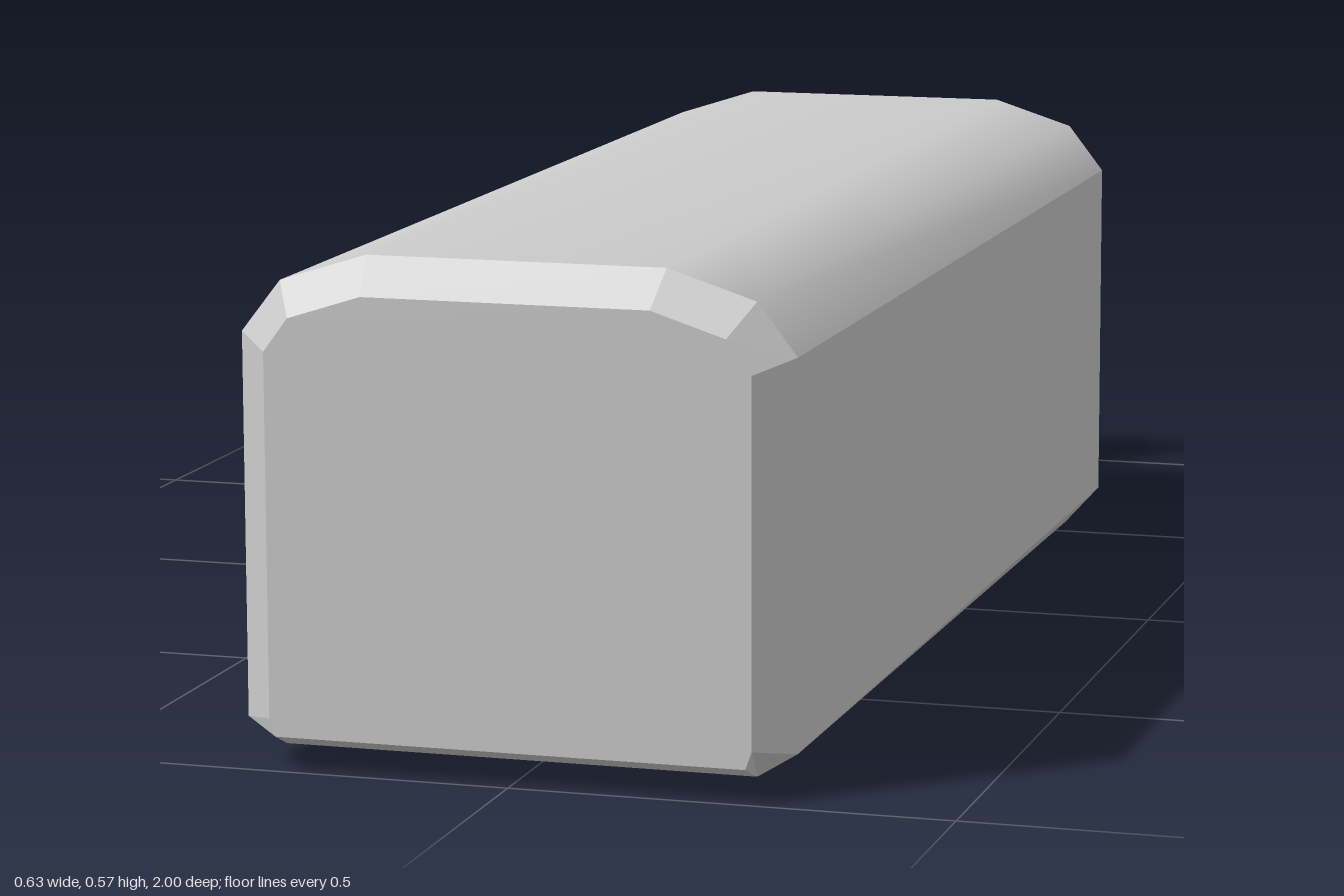
import * as THREE from 'three';
import { mergeGeometries } from 'three/addons/utils/BufferGeometryUtils.js';

// Half outline from bottom to top, mirrored into a closed counter-clockwise ring.
const ring = (z, half) => {
  const right = half.map(([x, y]) => new THREE.Vector3(x, y, z));
  const left = half.map(([x, y]) => new THREE.Vector3(-x, y, z)).reverse();
  return [...right, ...left];
};

// Skin rings from front to back over the given columns; normals are smooth inside a patch.
function patch(rings, columns) {
  const n = columns.length;
  const pos = rings.flatMap(r => columns.flatMap(c => r[c % r.length].toArray()));
  const index = [];
  for (let s = 0; s < rings.length - 1; s++) {
    for (let i = 0; i < n - 1; i++) {
      const a = s * n + i, b = a + 1, c = a + n, d = c + 1;
      index.push(a, c, b, b, c, d);
    }
  }
  const g = new THREE.BufferGeometry();
  g.setAttribute('position', new THREE.Float32BufferAttribute(pos, 3));
  g.setIndex(index);
  g.computeVertexNormals();
  return g;
}

const around = n => Array.from({ length: n + 1 }, (_, i) => i);

export function createModel() {
  const group = new THREE.Group();
  const add = (name, geometry, options = {}) => {
    const material = new THREE.MeshStandardMaterial({ color: 0xcccccc, ...options });
    const mesh = new THREE.Mesh(geometry, material);
    mesh.name = name;
    group.add(mesh);
  };

  const upper = [[0.315, 0.485], [0.27, 0.543], [0.17, 0.575]];
  const front = ring(1, [[0.268, 0.042], [0.275, 0.062], [0.275, 0.47], [0.247, 0.508], [0.163, 0.535]]);
  const frontRim = ring(0.96, [[0.27, 0.025], [0.315, 0.053], ...upper]);
  const shoulder = ring(-0.56, [[0.27, 0.003], [0.315, 0.053], ...upper]);
  const backRim = ring(-0.66, [[0.245, 0.01], [0.28, 0.06], [0.28, 0.44], [0.24, 0.49], [0.15, 0.518]]);
  const neck = ring(-0.77, [[0.022, 0.237], [0.03, 0.243], [0.03, 0.272], [0.022, 0.281], [0.01, 0.285]]);

  // Loaf body gathered to the neck, with hard edges along the two sides
  const body = [frontRim, shoulder, backRim, neck];
  const runs = [[1, 2], [2, 3, 4, 5, 6, 7], [7, 8], [8, 9, 10, 11]];
  add('loafBody', mergeGeometries(runs.map(run => patch(body, run))));

  // Bevel and flat end at the front
  add('frontBevel', patch([front, frontRim], around(10)), { flatShading: true });
  const end = new THREE.ShapeGeometry(new THREE.Shape(front.map(p => new THREE.Vector2(p.x, p.y))));
  end.translate(0, 0, 1);
  add('frontEnd', end);

  // Open pleated tail: tips and folds alternate around the rim
  const rim = [
    [0.03, 0.15], [0.07, 0.1], [0.135, 0.115], [0.12, 0.17], [0.17, 0.18],
    [0.115, 0.245], [0.175, 0.3], [0.15, 0.34], [0.085, 0.285], [0.045, 0.345],
    [-0.02, 0.28], [-0.075, 0.33], [-0.1, 0.29], [-0.165, 0.345], [-0.175, 0.3],
    [-0.11, 0.25], [-0.17, 0.19], [-0.11, 0.17], [-0.12, 0.11], [-0.05, 0.1],
  ];
  const tailEnd = rim.map(([x, y]) => new THREE.Vector3(x, y, -1 + 0.015 * Math.max(0, (0.2 - y) / 0.1)));
  const tailNeck = rim.map(([x, y]) => {
    const a = Math.atan2(y - 0.235, x);
    return new THREE.Vector3(0.03 * Math.cos(a), 0.26 + 0.025 * Math.sin(a), -0.768);
  });
  add('gatheredTail', patch([tailNeck, tailEnd], around(rim.length)), { flatShading: true, side: THREE.DoubleSide });

  return group;
}
